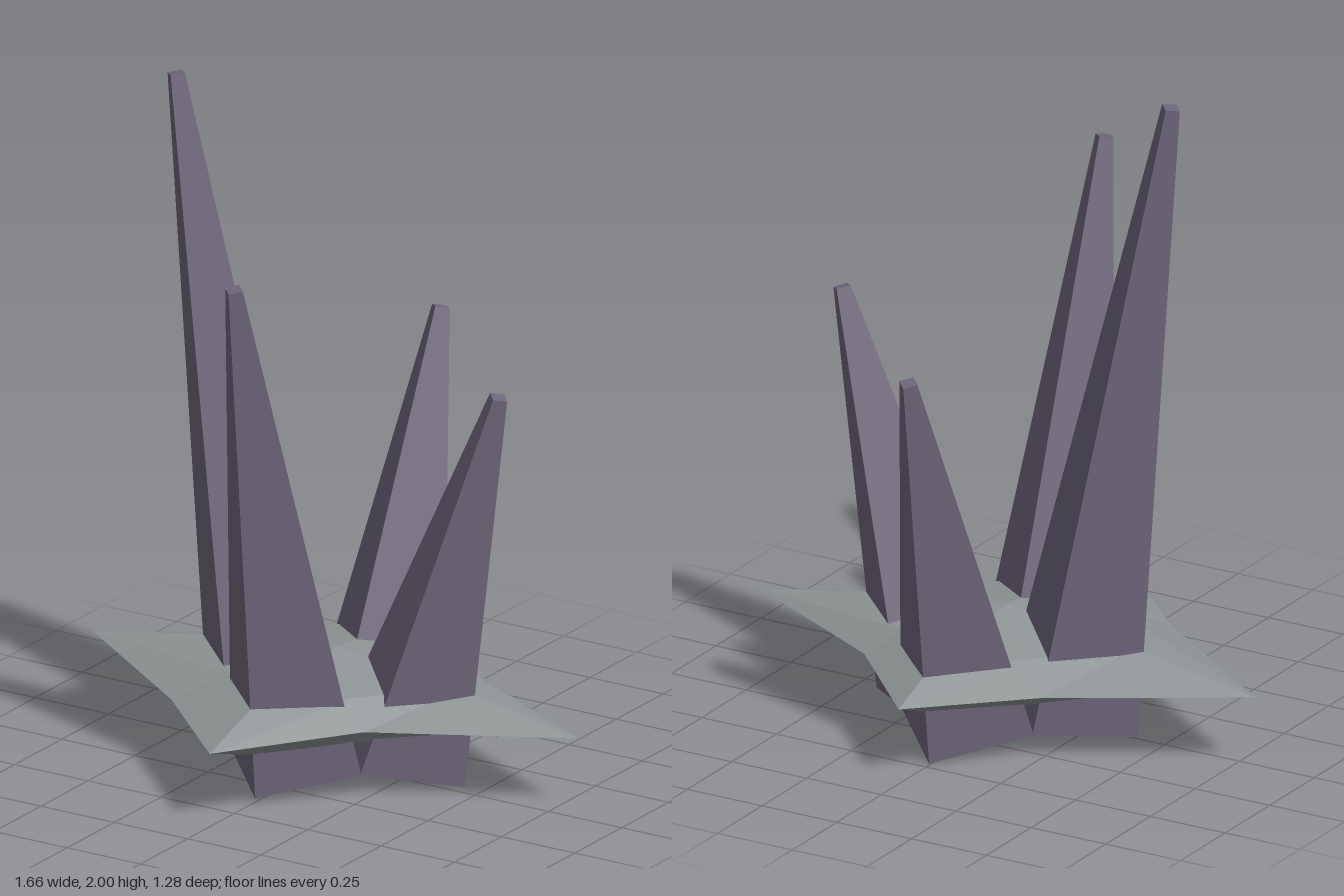
import * as THREE from 'three';

const CX = 0.005, CZ = -0.04, MID = 0.23;

// Four-sided tapered spike leaning outward; its base stays square to its axis
function makeSpike(name, yaw, tipY, material) {
  const baseR = 0.22, baseY = 0.065, tipR = 0.55;
  const run = tipR - baseR, rise = tipY - baseY;
  const geometry = new THREE.CylinderGeometry(0.03, 0.223, Math.hypot(run, rise), 4);
  const mesh = new THREE.Mesh(geometry, material);
  mesh.position.set((baseR + tipR) / 2, (baseY + tipY) / 2, 0);
  mesh.rotation.z = -Math.atan2(run, rise);
  const group = new THREE.Group();
  group.name = name;
  group.position.set(CX, 0, CZ);
  group.rotation.y = yaw;
  group.add(mesh);
  return group;
}

// Thin four-pointed star: sharp rim, raised shoulder ring and apex, mirrored below
function makeStar(material) {
  // rim and shoulder points [x, z] around the centre, from +x towards +z
  const rim = [[0.825, 0], [0.275, 0.29], [0, 0.68], [-0.335, 0.36],
    [-0.835, 0], [-0.305, -0.32], [0, -0.605], [0.305, -0.285]];
  const shoulder = [[0.42, 0], [0.2, 0.22], [0, 0.46], [-0.21, 0.24],
    [-0.43, 0], [-0.21, -0.23], [0, -0.42], [0.21, -0.22]];
  const positions = [];
  for (const side of [1, -1]) {
    const point = ([x, z], h) => [CX + x, MID + side * h, CZ + z];
    const tri = (a, b, c) => positions.push(...(side > 0 ? [...a, ...c, ...b] : [...a, ...b, ...c]));
    const apex = point([0, 0], 0.12);
    for (let i = 0; i < 8; i++) {
      const j = (i + 1) % 8;
      const r0 = point(rim[i], 0), r1 = point(rim[j], 0);
      const s0 = point(shoulder[i], 0.07), s1 = point(shoulder[j], 0.07);
      tri(r0, r1, s0);
      tri(s0, r1, s1);
      tri(s0, s1, apex);
    }
  }
  const geometry = new THREE.BufferGeometry();
  geometry.setAttribute('position', new THREE.Float32BufferAttribute(positions, 3));
  geometry.computeVertexNormals();
  const mesh = new THREE.Mesh(geometry, material);
  mesh.name = 'starPlate';
  return mesh;
}

export function createModel() {
  const model = new THREE.Group();
  model.name = 'spikedStar';
  const spikeMaterial = new THREE.MeshStandardMaterial({ color: 0x6e6679, flatShading: true });
  const starMaterial = new THREE.MeshStandardMaterial({ color: 0x8f9596, flatShading: true });

  model.add(makeStar(starMaterial));
  [['leftSpike', 0, 1.22], ['backSpike', Math.PI / 2, 1.22],
    ['rightSpike', Math.PI, 1.995], ['frontSpike', -Math.PI / 2, 1.61]]
    .forEach(([name, yaw, tipY]) => model.add(makeSpike(name, yaw, tipY, spikeMaterial)));
  return model;
}
